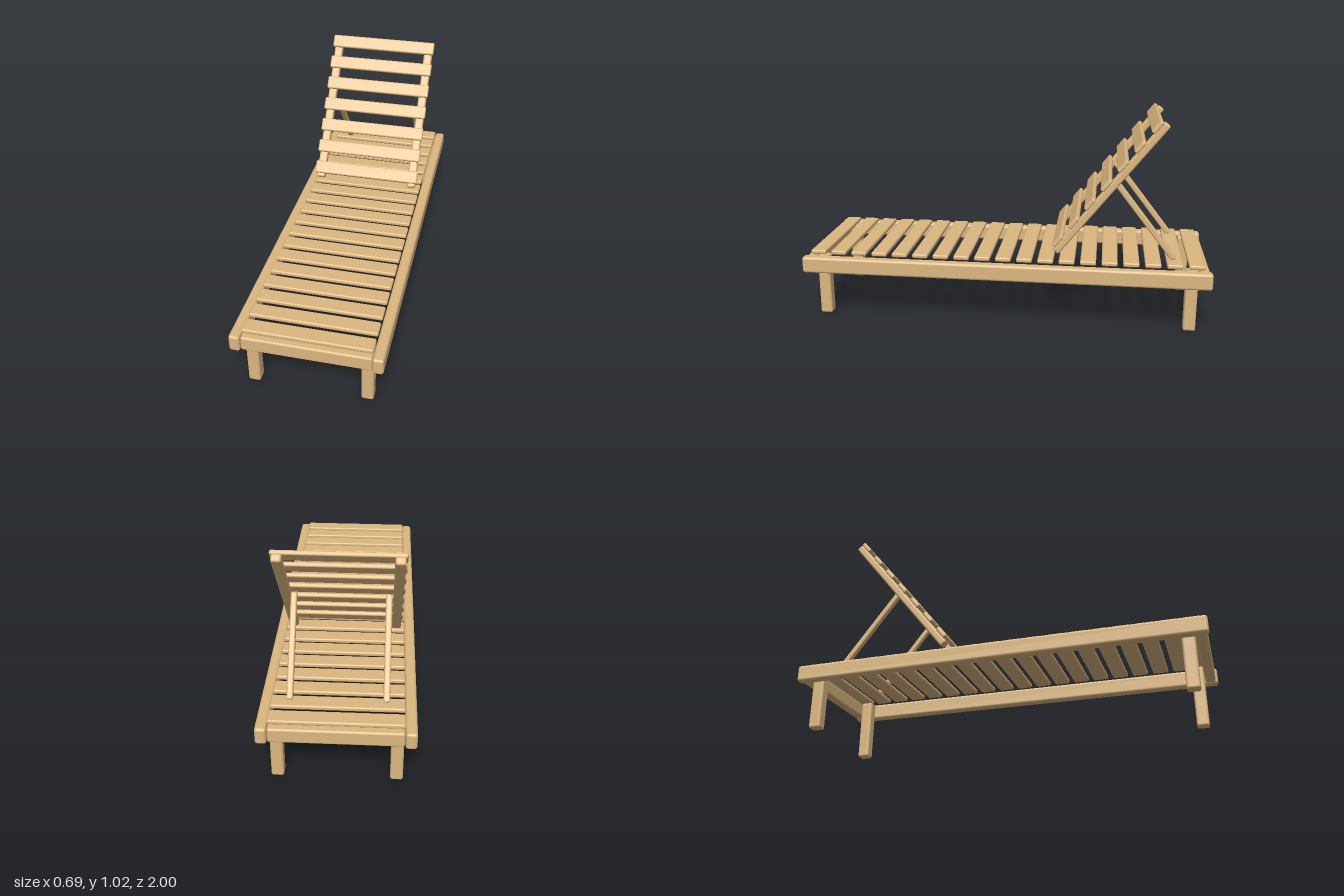
import * as THREE from 'three';
import { RoundedBoxGeometry } from 'three/addons/geometries/RoundedBoxGeometry.js';

export function createModel() {
  const lounger = new THREE.Group();
  lounger.name = 'sunLounger';
  const wood = new THREE.MeshStandardMaterial({ color: 0xdcb780 });
  wood.name = 'wood';

  // Wooden bar with softened edges, centred on its position and tilted about x
  function bar(name, size, position, radius, parent = lounger, tilt = 0) {
    const mesh = new THREE.Mesh(new RoundedBoxGeometry(...size, 3, radius), wood);
    mesh.name = name;
    mesh.position.set(...position);
    mesh.rotation.x = tilt;
    parent.add(mesh);
  }

  // Frame and legs
  for (const side of [-1, 1]) {
    bar('sideRail', [0.051, 0.082, 2], [side * 0.319, 0.276, 0], 0.013);
    bar('endRail', [0.586, 0.072, 0.05], [0, 0.275, side * 0.965], 0.01);
    for (const end of [-1, 1]) {
      bar('leg', [0.057, 0.308, 0.06], [side * 0.263, 0.157, end * 0.908], 0.011);
    }
  }

  // Seat slats
  for (let i = 0; i < 19; i++) {
    bar('seatSlat', [0.588, 0.022, 0.077], [0, 0.329, 0.93 - i * 0.1033], 0.008);
  }

  // Reclined backrest: local y runs up the back, local z faces the sitter
  const backrest = new THREE.Group();
  backrest.name = 'backrest';
  backrest.position.set(0, 0.69, -0.505);
  backrest.rotation.x = -0.672;
  lounger.add(backrest);
  for (const side of [-1, 1]) {
    bar('backRail', [0.045, 0.81, 0.037], [side * 0.252, 0, 0], 0.01, backrest);
  }
  for (let i = 0; i < 7; i++) {
    bar('backSlat', [0.566, 0.068, 0.022], [0, 0.007 + (i - 3) * 0.1195, 0.027], 0.008, backrest);
  }

  // Struts propping up the backrest
  const top = new THREE.Vector2(-0.535, 0.715);
  const foot = new THREE.Vector2(-0.824, 0.342);
  const tilt = Math.atan2(top.x - foot.x, top.y - foot.y);
  for (const side of [-1, 1]) {
    bar('strut', [0.029, top.distanceTo(foot), 0.029],
      [side * 0.211, (top.y + foot.y) / 2, (top.x + foot.x) / 2], 0.008, lounger, tilt);
  }
  return lounger;
}
